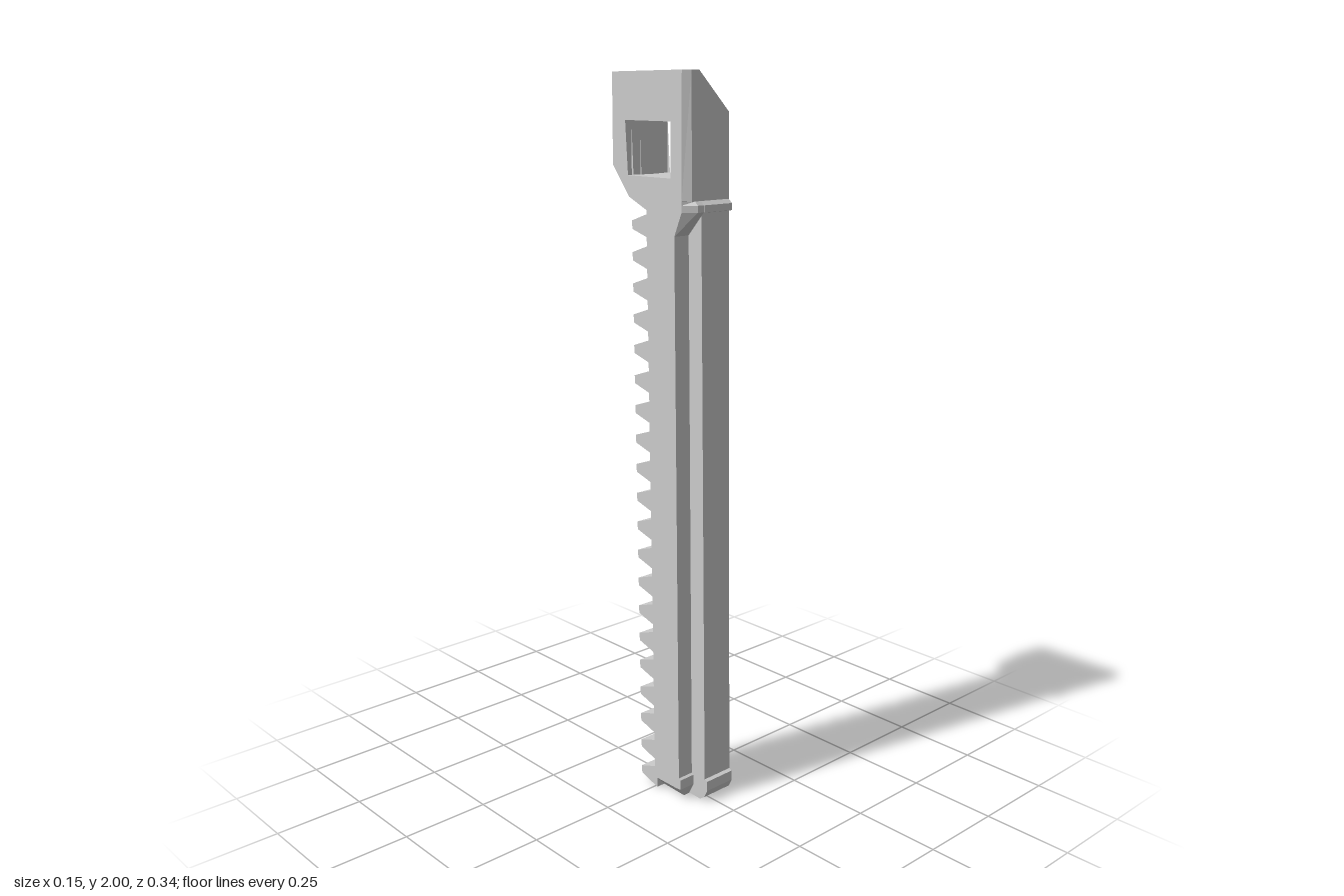
import * as THREE from 'three';

const material = new THREE.MeshStandardMaterial({ color: 0xcccccc, flatShading: true });

const path = (PathType, points) => new PathType(points.map(([z, y]) => new THREE.Vector2(-z, y)));

// Side profile of [z, y] points swept from x0 to x1; warp may shift any vertex
function slab(name, profile, x0, x1, { hole, warp } = {}) {
  const shape = path(THREE.Shape, profile);
  if (hole) shape.holes.push(path(THREE.Path, hole));
  const geometry = new THREE.ExtrudeGeometry(shape, { depth: x1 - x0, bevelEnabled: false });
  geometry.rotateY(Math.PI / 2).translate(x0, 0, 0);
  if (warp) {
    const pos = geometry.attributes.position;
    const v = new THREE.Vector3();
    for (let i = 0; i < pos.count; i++) {
      warp(v.fromBufferAttribute(pos, i));
      pos.setXYZ(i, v.x, v.y, v.z);
    }
    geometry.computeVertexNormals();
  }
  const mesh = new THREE.Mesh(geometry, material);
  mesh.name = name;
  return mesh;
}

const LEFT = -0.075, RIGHT = 0.073;
const rootZ = (y) => 0.004 - 0.016 * y; // slightly leaning root line of the teeth

function createHead() {
  const head = new THREE.Group();
  head.name = 'head';
  const profile = [[0.128, 2], [-0.169, 1.996], [-0.166, 1.76], [-0.09, 1.68], [-0.022, 1.65], [0.131, 1.68]];
  // Window, narrowest halfway through and flaring towards both faces
  const window = [[0.055, 1.735], [-0.087, 1.735], [-0.087, 1.875], [0.055, 1.875]];
  const slopeStart = -0.031;
  const warp = (v) => {
    const inWindow = v.z < 0.08 && v.z > -0.11 && v.y > 1.7 && v.y < 1.9;
    if (inWindow) {
      v.z += Math.sign(v.z) * 0.016 * Math.abs(v.x) / RIGHT;
      return;
    }
    if (v.x < LEFT + 0.001) v.z = THREE.MathUtils.clamp(v.z, -0.154, 0.112);
    if (v.y > 1.9) v.y -= 0.98 * Math.max(0, v.x - slopeStart);
  };
  const cuts = [LEFT, -0.057, slopeStart, 0, RIGHT];
  const names = ['headChamferedEdge', 'headMiddle', 'headSlopeTop', 'headSlopeSide'];
  names.forEach((name, i) => head.add(slab(name, profile, cuts[i], cuts[i + 1], { hole: window, warp })));
  return head;
}

function createBar() {
  const bar = new THREE.Group();
  bar.name = 'bar';
  const back = [[rootZ(1.65), 1.65], [rootZ(0), 0.012], [-0.01, 0.003]];
  // Full-depth front rail with a lip at each end
  const rail = [[0.131, 1.68], ...back, [0.14, 0], [0.157, 0.012], [0.168, 0.035], [0.168, 0.064], [0.158, 0.068],
    [0.132, 1.65], [0.143, 1.652], [0.143, 1.67]];
  bar.add(slab('frontRail', rail, -0.025, RIGHT));

  // Recessed strip with a ramp rising to the lip under the head
  const strip = [[0.131, 1.68], ...back, [0.095, 0], [0.112, 0.035], [0.112, 0.064], [0.105, 0.068],
    [0.085, 1.59], [0.141, 1.652], [0.141, 1.67]];
  bar.add(slab('recessedStrip', strip, -0.046, -0.025));
  // Outer edge of the strip, chamfered at the lip and the foot
  bar.add(slab('recessedStripEdge', strip, LEFT, -0.046, {
    warp: (v) => {
      if (v.x > LEFT + 0.001) return;
      v.z = Math.min(v.z, 0.112);
      v.y = Math.max(v.y, 0.033);
    },
  }));
  return bar;
}

function createTeeth() {
  const teeth = new THREE.Group();
  teeth.name = 'rackTeeth';
  const count = 20, first = 0.037, pitch = 0.0828;
  for (let i = 0; i < count; i++) {
    const y = first + i * pitch;
    const root = rootZ(y);
    const tip = root - 0.058;
    teeth.add(slab('tooth', [
      [root + 0.01, y + 0.033], [root, y + 0.029], [tip, y + 0.009],
      [tip + 0.002, y - 0.013], [root, y - 0.03], [root + 0.01, y - 0.033],
    ], LEFT, RIGHT));
  }
  return teeth;
}

export function createModel() {
  const model = new THREE.Group();
  model.name = 'toothedRack';
  model.add(createHead(), createBar(), createTeeth());
  return model;
}
